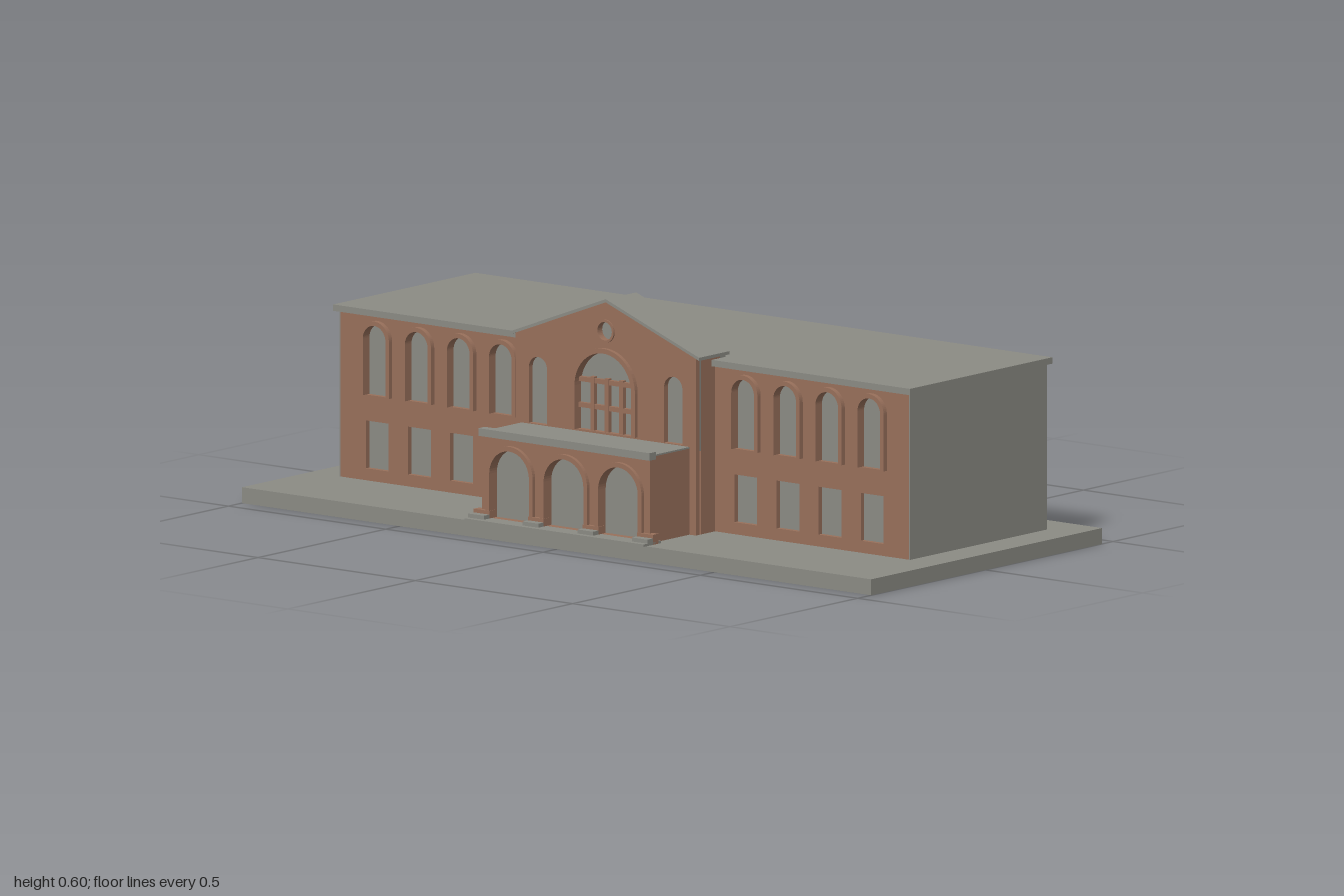
import * as THREE from 'three';

export function createModel() {
  const model = new THREE.Group();
  const brick = new THREE.MeshStandardMaterial({ color: 0x98705b });
  brick.name = 'brick';
  const stone = new THREE.MeshStandardMaterial({ color: 0x8b8b84 });
  stone.name = 'grey stone';

  const add = (name, geometry, material) => {
    const mesh = new THREE.Mesh(geometry, material);
    mesh.name = name;
    model.add(mesh);
    return mesh;
  };
  // Box given by its minimum and maximum on each axis
  const box = (name, material, x0, x1, y0, y1, z0, z1) =>
    add(name, new THREE.BoxGeometry(x1 - x0, y1 - y0, z1 - z0), material)
      .position.set((x0 + x1) / 2, (y0 + y1) / 2, (z0 + z1) / 2);
  // Shape pulled forward from z0 to z1
  const extrude = (name, material, shape, z0, z1) =>
    add(name, new THREE.ExtrudeGeometry(shape, { depth: z1 - z0, bevelEnabled: false, curveSegments: 16 }), material)
      .position.z = z0;
  const polygon = (points) => new THREE.Shape(points.map(([x, y]) => new THREE.Vector2(x, y)));
  const rect = (x0, x1, y0, y1) => polygon([[x0, y0], [x1, y0], [x1, y1], [x0, y1]]);
  // Round-headed opening
  const arch = (x, r, y0, top) => {
    const s = new THREE.Shape();
    s.moveTo(x - r, y0);
    s.lineTo(x + r, y0);
    s.lineTo(x + r, top - r);
    s.absarc(x, top - r, r, 0, Math.PI, false);
    s.closePath();
    return s;
  };
  // Band running up, over and down around a round-headed opening
  const archBand = (x, r, w, y0, top) => {
    const s = new THREE.Shape();
    const c = top - r;
    s.moveTo(x + r, y0);
    s.lineTo(x + r + w, y0);
    s.lineTo(x + r + w, c);
    s.absarc(x, c, r + w, 0, Math.PI, false);
    s.lineTo(x - r - w, y0);
    s.lineTo(x - r, y0);
    s.lineTo(x - r, c);
    s.absarc(x, c, r, Math.PI, 0, true);
    s.closePath();
    return s;
  };

  // Ground plinth, main block and flat roof
  box('plinth', stone, -1, 1, 0, 0.04, -0.457, 0.447);
  box('mainBlock', stone, -0.907, 0.907, 0.04, 0.456, -0.355, 0.167);
  box('mainRoof', stone, -0.917, 0.917, 0.456, 0.472, -0.365, 0.193);

  // Brick wings with two rows of windows
  for (const side of [-1, 1]) {
    const wall = side < 0 ? rect(-0.904, -0.28, 0.04, 0.456) : rect(0.28, 0.904, 0.04, 0.456);
    for (let i = 0; i < 4; i++) {
      const x = side * (0.385 + i * 0.1337);
      wall.holes.push(arch(x, 0.036, 0.255, 0.433), rect(x - 0.036, x + 0.036, 0.07, 0.19));
      extrude('upperWindowSurround', brick, archBand(x, 0.036, 0.011, 0.255, 0.433), 0.18, 0.193);
    }
    extrude('wingWall', brick, wall, 0.167, 0.18);
    const edge = side * 0.9055;
    box('wingEnd', stone, edge - 0.0015, edge + 0.0015, 0.04, 0.456, 0.167, 0.18);
  }

  // Central gabled pavilion
  const front = polygon([[-0.287, 0.04], [0.287, 0.04], [0.287, 0.483], [0, 0.592], [-0.287, 0.483]]);
  front.holes.push(arch(0, 0.09, 0.265, 0.465));
  for (const x of [-0.215, 0.215]) front.holes.push(arch(x, 0.029, 0.262, 0.43));
  const oculus = new THREE.Path();
  oculus.absarc(0, 0.52, 0.023, 0, Math.PI * 2, false);
  front.holes.push(oculus);
  extrude('pavilionFront', brick, front, 0.24, 0.255);
  box('pavilionBody', brick, -0.287, 0.287, 0.04, 0.478, 0.16, 0.236);
  box('pavilionGlass', stone, -0.287, 0.287, 0.25, 0.478, 0.236, 0.24);
  extrude('gableBack', stone, polygon([[-0.287, 0.472], [0.287, 0.472], [0.287, 0.483], [0, 0.592], [-0.287, 0.483]]), 0.14, 0.24);
  extrude('gableRoof', stone, polygon([[-0.297, 0.479], [0, 0.592], [0.297, 0.479], [0.297, 0.487], [0, 0.6], [-0.297, 0.487]]), 0.135, 0.255);

  // Large arched window with glazing bars, and round window above
  extrude('greatWindowSurround', brick, archBand(0, 0.09, 0.012, 0.265, 0.465), 0.255, 0.266);
  for (const x of [-0.046, 0, 0.046]) box('glazingBar', brick, x - 0.006, x + 0.006, 0.265, 0.4, 0.24, 0.251);
  for (const y of [0.325, 0.39]) box('glazingRail', brick, -0.09, 0.09, y - 0.006, y + 0.006, 0.24, 0.25);
  const ring = new THREE.Shape().absarc(0, 0.52, 0.029, 0, Math.PI * 2, false);
  ring.holes.push(oculus);
  extrude('roundWindowRing', brick, ring, 0.255, 0.259);

  // Entrance porch with three arches
  box('porchBody', brick, -0.267, 0.267, 0.04, 0.256, 0.25, 0.386);
  box('porchPanel', stone, -0.264, 0.264, 0.04, 0.254, 0.386, 0.39);
  const porchFront = rect(-0.267, 0.267, 0.04, 0.256);
  for (const x of [-0.173, 0, 0.173]) {
    porchFront.holes.push(arch(x, 0.063, 0.046, 0.221));
    extrude('porchArchBand', brick, archBand(x, 0.063, 0.012, 0.046, 0.221), 0.41, 0.42);
  }
  extrude('porchFront', brick, porchFront, 0.386, 0.41);
  box('porchRoof', stone, -0.267, 0.267, 0.256, 0.26, 0.25, 0.41);
  box('porchCornice', stone, -0.272, 0.272, 0.249, 0.268, 0.393, 0.418);

  // Doorstep and pier bases
  box('doorstep', stone, -0.285, 0.285, 0.04, 0.046, 0.39, 0.457);
  for (const x of [-0.26, -0.087, 0.087, 0.26]) {
    box('pierBase', brick, x - 0.025, x + 0.025, 0.04, 0.065, 0.399, 0.421);
    box('pierStep', stone, x - 0.025, x + 0.025, 0.046, 0.056, 0.421, 0.442);
  }
  return model;
}
